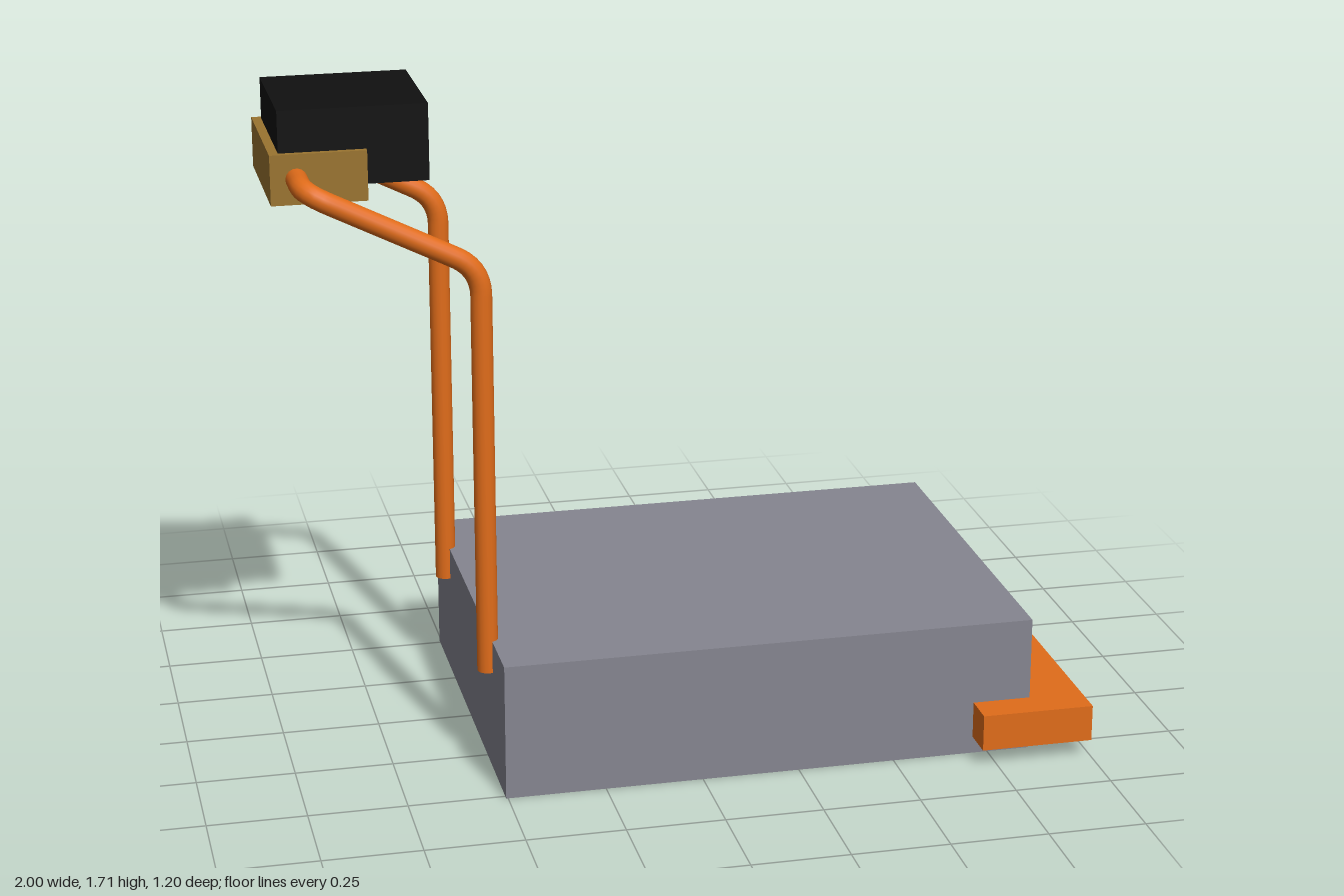
import * as THREE from 'three';

const material = (color) => new THREE.MeshStandardMaterial({ color });

// Box given by its lowest and highest corner
function box(name, min, max, mat) {
  const size = max.map((v, i) => v - min[i]);
  const mesh = new THREE.Mesh(new THREE.BoxGeometry(...size), mat);
  mesh.position.set(...max.map((v, i) => (v + min[i]) / 2));
  mesh.name = name;
  return mesh;
}

// Straight runs joined by rounded corners
function roundedPath(points, bend) {
  const path = new THREE.CurvePath();
  let start = points[0];
  for (let i = 1; i < points.length - 1; i++) {
    const p = points[i];
    const toward = (q) => p.clone().add(q.clone().sub(p).setLength(bend));
    const a = toward(points[i - 1]), b = toward(points[i + 1]);
    path.add(new THREE.LineCurve3(start, a));
    path.add(new THREE.QuadraticBezierCurve3(a, p, b));
    start = b;
  }
  path.add(new THREE.LineCurve3(start, points[points.length - 1]));
  return path;
}

export function createModel() {
  const model = new THREE.Group();
  const orange = material(0xe06c1a);

  // Base block and front bumper
  model.add(box('base', [-0.505, 0, -0.513], [0.86, 0.355, 0.513], material(0x858590)));
  model.add(box('bumper', [0.71, 0.045, -0.6], [1, 0.14, 0.6], orange));

  // Bent handle: two uprights leaning back to a crossbar
  const handle = new THREE.Group();
  handle.name = 'handle';
  const radius = 0.027;
  const side = [[-0.513, 0.27], [-0.513, 1.325], [-0.936, 1.538]];
  const zFront = 0.322, zBack = -0.324;
  const points = [
    ...side.map(([x, y]) => new THREE.Vector3(x, y, zFront)),
    ...side.map(([x, y]) => new THREE.Vector3(x, y, zBack)).reverse(),
  ];
  const tube = new THREE.Mesh(
    new THREE.TubeGeometry(roundedPath(points, 0.07), 220, radius, 16), orange);
  tube.name = 'handleTube';
  handle.add(tube);

  // Caps on the lower ends of the uprights
  for (const z of [zFront, zBack]) {
    const cap = new THREE.Mesh(new THREE.CircleGeometry(radius, 16), orange);
    cap.rotation.x = Math.PI / 2;
    cap.position.set(-0.513, 0.27, z);
    cap.name = 'handleEnd';
    handle.add(cap);
  }
  model.add(handle);

  // Control box and its bracket on the crossbar
  model.add(box('bracket', [-1, 1.474, -0.193], [-0.763, 1.6, 0.191], material(0x9a7430)));
  model.add(box('controlBox', [-0.977, 1.512, -0.177], [-0.61, 1.705, 0.175], material(0x101010)));

  return model;
}
